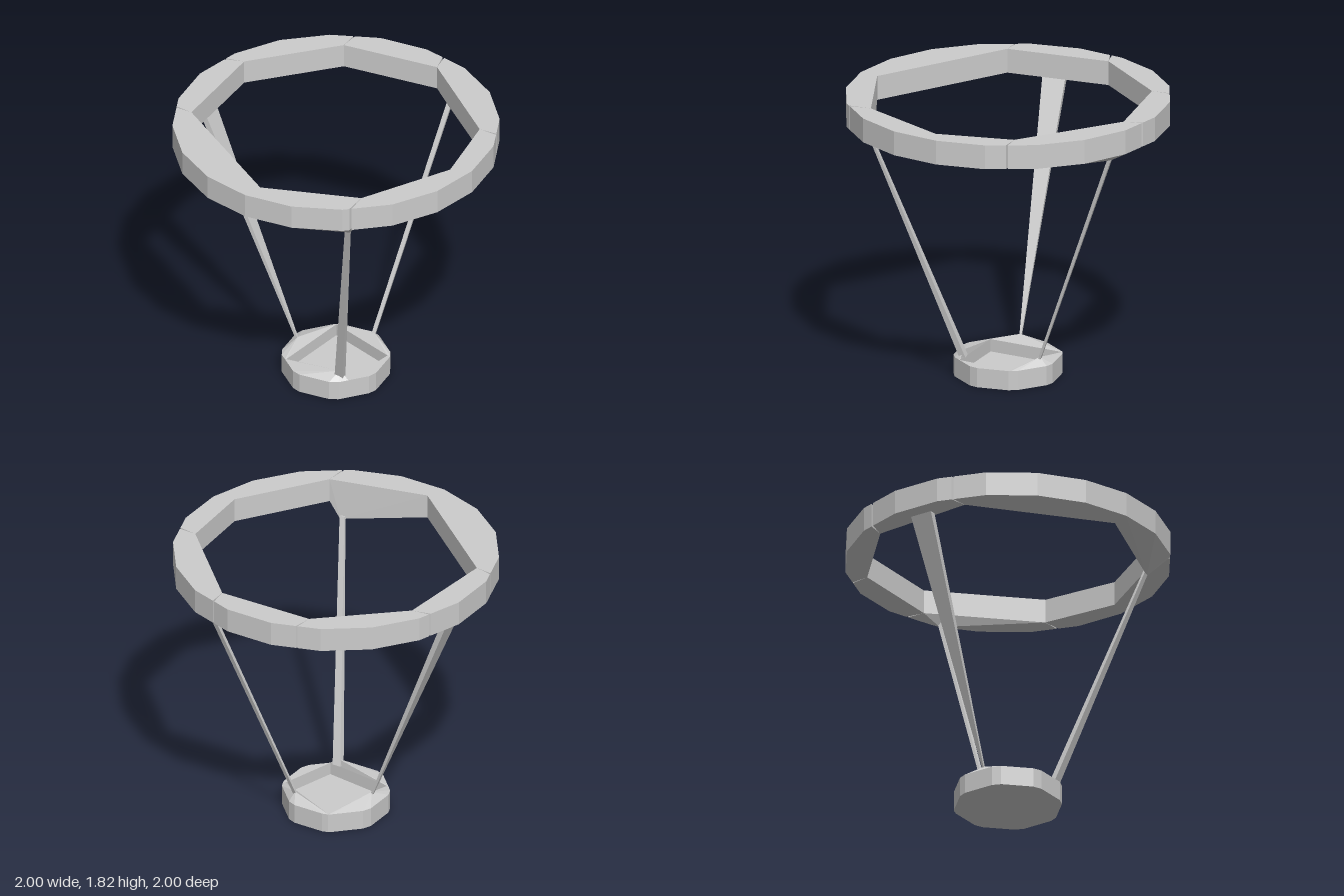
import * as THREE from 'three';
import { ConvexGeometry } from 'three/addons/geometries/ConvexGeometry.js';

const RAD = Math.PI / 180;
const material = new THREE.MeshStandardMaterial({ color: 0xcccccc, flatShading: true });
const v = (x, y, z) => new THREE.Vector3(x, y, z);

function addSolid(group, name, points) {
  const mesh = new THREE.Mesh(new ConvexGeometry(points), material);
  mesh.name = name;
  group.add(mesh);
}

// convex outline as polar corners, angles in degrees from +x towards +z
function outline(angles, radius) {
  return angles.map((a) => ({ a, x: radius * Math.cos(a * RAD), z: radius * Math.sin(a * RAD) }));
}

// point where a ray at the given angle leaves the outline
function edgePoint(corners, angle) {
  const dx = Math.cos(angle * RAD), dz = Math.sin(angle * RAD);
  let k = 0;
  corners.forEach((p, i) => {
    const q = corners[(i + 1) % corners.length];
    const nx = q.z - p.z, nz = p.x - q.x;
    k = Math.max(k, (nx * dx + nz * dz) / (nx * p.x + nz * p.z));
  });
  return [dx / k, dz / k];
}

// outline between two angles
function arc(corners, from, to) {
  const pts = [edgePoint(corners, from)];
  for (const turn of [-360, 0, 360]) {
    for (const c of corners) {
      if (c.a + turn > from + 0.3 && c.a + turn < to - 0.3) pts.push([c.x, c.z]);
    }
  }
  pts.push(edgePoint(corners, to));
  return pts;
}

const prism = (plan, y0, y1) => plan.flatMap(([x, z]) => [v(x, y0, z), v(x, y1, z)]);

// tapered bar between two rectangular ends: [x, y, z, halfX, halfZ]
function bar(group, name, ...ends) {
  const pts = [];
  for (const [x, y, z, hx, hz] of ends) {
    for (const sx of [-1, 1]) for (const sz of [-1, 1]) pts.push(v(x + sx * hx, y, z + sz * hz));
  }
  addSolid(group, name, pts);
}

export function createModel() {
  const model = new THREE.Group();

  // upper ring: round outside, irregular eight-sided opening, narrow joints
  const ring = new THREE.Group();
  ring.name = 'upperRing';
  const rim = outline(Array.from({ length: 20 }, (_, i) => 9 + 18 * i), 1 / Math.cos(9 * RAD));
  // [inner x, inner z, outer joint angle, half gap in degrees]
  const joints = [
    [0.84, -0.30, -16.8, 0.35], [0.87, 0.20, 11.3, 0], [0.51, 0.73, 60.1, 0.4],
    [-0.11, 0.88, 99.7, 0], [-0.86, 0.27, 165.4, 0.3], [-0.81, -0.40, 202.2, 0.4],
    [-0.33, -0.83, 251.6, 0.3], [0.30, -0.84, 286.8, 0.35],
  ];
  // low points where the front and back struts meet the ring
  const keels = { 2: v(0.44, 1.555, 0.74), 7: v(0.40, 1.595, -0.79) };
  joints.forEach(([x, z, a, gap], i) => {
    const [x2, z2, a2, gap2] = joints[(i + 1) % joints.length];
    const end = a2 < a ? a2 + 360 : a2;
    const pts = prism([[x, z], [x2, z2], ...arc(rim, a + gap, end - gap2)], 1.665, 1.82);
    if (keels[i]) pts.push(keels[i]);
    addSolid(ring, 'ringSegment', pts);
  });
  model.add(ring);

  // base tray: chamfered octagon around a skewed square recess
  const tray = new THREE.Group();
  tray.name = 'baseTray';
  const trayAngles = Array.from({ length: 8 }, (_, i) => 22.5 + 45 * i).flatMap((a) => [a - 5, a + 5]);
  const trayRim = outline(trayAngles, 0.336);
  const recess = [[0.30, -0.11], [0.20, 0.25], [-0.25, 0.19], [-0.14, -0.31]];
  const peaks = [null, v(0.14, 0.18, 0.245), v(-0.26, 0.18, 0), v(0.14, 0.18, -0.25)];
  const angleOf = ([x, z]) => Math.atan2(z, x) / RAD;
  recess.forEach((p, i) => {
    const q = recess[(i + 1) % 4];
    const a = angleOf(p);
    let b = angleOf(q);
    if (b < a) b += 360;
    const pts = prism([p, q, ...arc(trayRim, a, b)], 0.005, 0.13);
    if (peaks[i]) pts.push(peaks[i]);
    addSolid(tray, 'trayWall', pts);
  });
  addSolid(tray, 'trayFloor', prism(recess, 0.005, 0.05));
  model.add(tray);

  // three slender struts
  bar(model, 'rightStrut', [-0.262, 0.16, 0, 0.008, 0.006], [-0.89, 1.68, -0.03, 0.02, 0.075]);
  bar(model, 'frontStrut', [0.14, 0.14, 0.245, 0.028, 0.02], [0.425, 1.58, 0.745, 0.017, 0.008]);
  bar(model, 'backStrut', [0.14, 0.16, -0.245, 0.012, 0.008], [0.41, 1.62, -0.79, 0.016, 0.012]);

  return model;
}
